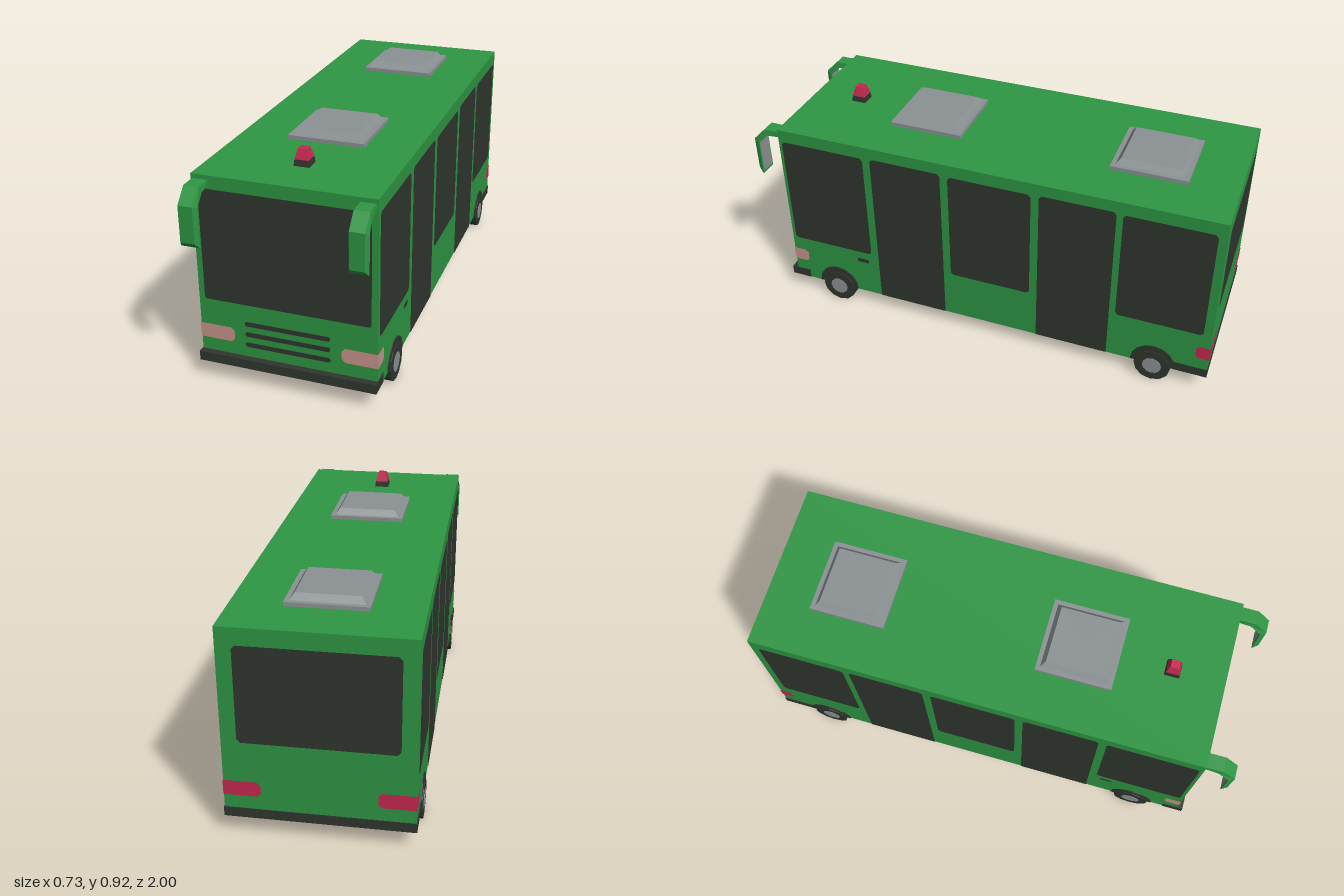
import * as THREE from 'three';

const mat = (name, color) => {
  const m = new THREE.MeshStandardMaterial({ color });
  m.name = name;
  return m;
};

export function createModel() {
  const green = mat('green paint', 0x2e9644);
  const dark = mat('dark glass and rubber', 0x30362f);
  const grey = mat('grey metal', 0x8c9294);
  const pink = mat('headlight pink', 0xcb948d);
  const red = mat('signal red', 0xc5284f);

  const bus = new THREE.Group();
  bus.name = 'bus';
  const W = 0.354, FRONT = 0.877, BACK = -0.997;

  function add(name, geometry, material, x = 0, y = 0, z = 0) {
    const mesh = new THREE.Mesh(geometry, material);
    mesh.name = name;
    mesh.position.set(x, y, z);
    bus.add(mesh);
    return mesh;
  }

  // Box given by its limits
  function box(name, material, x0, x1, y0, y1, z0, z1) {
    return add(name, new THREE.BoxGeometry(x1 - x0, y1 - y0, z1 - z0), material,
      (x0 + x1) / 2, (y0 + y1) / 2, (z0 + z1) / 2);
  }

  // Square block tapering from half width a to half width b
  function taper(name, material, a, b, y0, y1, z) {
    const g = new THREE.CylinderGeometry(b * Math.SQRT2, a * Math.SQRT2, y1 - y0, 4).toNonIndexed();
    g.rotateY(Math.PI / 4);
    g.computeVertexNormals();
    return add(name, g, material, 0, (y0 + y1) / 2, z);
  }

  // Flat panel with cut corners: ca on the u0 end, cb on the u1 end
  function panelShape(u0, u1, v0, v1, ca, cb, bottomCut = true) {
    const a = bottomCut ? ca : 0, b = bottomCut ? cb : 0;
    return new THREE.ShapeGeometry(new THREE.Shape([
      [u0 + a, v0], [u1 - b, v0], [u1, v0 + b], [u1, v1 - cb],
      [u1 - cb, v1], [u0 + ca, v1], [u0, v1 - ca], [u0, v0 + a],
    ].map(p => new THREE.Vector2(...p))));
  }
  function frontPanel(name, material, x0, x1, y0, y1, ca, cb) {
    add(name, panelShape(x0, x1, y0, y1, ca, cb), material, 0, 0, FRONT + 0.002);
  }
  function backPanel(name, material, x0, x1, y0, y1, ca, cb) {
    add(name, panelShape(x0, x1, y0, y1, ca, cb), material, 0, 0, BACK - 0.002).rotation.y = Math.PI;
  }
  // Runs from the rear end zr to the front end zf, on side s (+1 left, -1 right)
  function sidePanel(name, material, s, zr, zf, y0, y1, cr, cf, bottomCut) {
    const g = s > 0 ? panelShape(-zf, -zr, y0, y1, cf, cr, bottomCut)
      : panelShape(zr, zf, y0, y1, cr, cf, bottomCut);
    add(name, g, material, s * (W + 0.002)).rotation.y = s * Math.PI / 2;
  }

  // Body and bumpers
  box('body', green, -W, W, 0.08, 0.852, BACK, FRONT);
  box('frontBumper', dark, -W - 0.003, W + 0.003, 0.081, 0.12, 0.815, 0.903);
  box('rearBumper', dark, -W - 0.003, W + 0.003, 0.081, 0.12, -1, -0.86);

  // Front and rear glass, grille slots
  frontPanel('windscreen', dark, -0.33, 0.33, 0.345, 0.8, 0.007, 0.007);
  backPanel('rearWindow', dark, -0.295, 0.295, 0.4, 0.785, 0.014, 0.014);
  for (const y of [0.173, 0.218, 0.263])
    frontPanel('grilleSlot', dark, -0.17, 0.17, y - 0.01, y + 0.01, 0.005, 0.005);

  // Roof hatches
  for (const z of [0.295, -0.645]) {
    box('hatchFrame', grey, -0.156, 0.156, 0.851, 0.868, z - 0.156, z + 0.156);
    taper('hatchLid', grey, 0.138, 0.12, 0.868, 0.893, z);
  }

  // Beacon
  taper('beaconBase', dark, 0.031, 0.028, 0.851, 0.877, 0.665);
  taper('beaconLamp', red, 0.028, 0.017, 0.877, 0.917, 0.665);

  // Mirror arm and head lofted along a bent path:
  // [outer z, outer y, outer half width, inner z, inner y, inner half width]
  const stations = [
    [0.87, 0.835, 0.03, 0.87, 0.812, 0.03],
    [0.945, 0.835, 0.03, 0.93, 0.81, 0.033],
    [1.0, 0.78, 0.028, 0.978, 0.77, 0.038],
    [1.0, 0.636, 0.028, 0.978, 0.612, 0.038],
  ];
  function mirrorGeometry() {
    const rings = stations.map(([oz, oy, ow, iz, iy, iw]) =>
      [[-ow, oy, oz], [ow, oy, oz], [iw, iy, iz], [-iw, iy, iz]]);
    const pos = [];
    const quad = (a, b, c, d) => pos.push(...a, ...b, ...c, ...a, ...c, ...d);
    for (let i = 0; i < rings.length - 1; i++)
      for (let j = 0; j < 4; j++) {
        const k = (j + 1) % 4;
        quad(rings[i][j], rings[i + 1][j], rings[i + 1][k], rings[i][k]);
      }
    quad(...rings[rings.length - 1].slice().reverse());
    const g = new THREE.BufferGeometry();
    g.setAttribute('position', new THREE.Float32BufferAttribute(pos, 3));
    g.computeVertexNormals();
    return g;
  }

  // Wheel arch outline, open towards the ground
  const arch = new THREE.Shape();
  for (let i = 0; i <= 8; i++) {
    const t = (i / 8) * Math.PI;
    const p = [Math.cos(t) * 0.094, 0.083 + Math.sin(t) * 0.096];
    if (i) arch.lineTo(...p); else arch.moveTo(...p);
  }

  for (const s of [1, -1]) {
    // Side windows and doors
    for (const [zr, zf] of [[0.49, 0.862], [-0.235, 0.115], [-0.963, -0.603]])
      sidePanel('sideWindow', dark, s, zr, zf, 0.3, 0.798, 0.012, 0.012);
    for (const [zr, zf] of [[0.148, 0.457], [-0.577, -0.268]])
      sidePanel('door', dark, s, zr, zf, 0.08, 0.803, 0.012, 0.012, false);
    sidePanel('handle', dark, s, 0.507, 0.56, 0.245, 0.264, 0.002, 0.002);

    // Lamps wrapping the corners
    const [x0, x1] = s > 0 ? [0.215, W + 0.002] : [-W - 0.002, -0.215];
    const [ca, cb] = s > 0 ? [0.014, 0] : [0, 0.014];
    frontPanel('headlight', pink, x0, x1, 0.175, 0.236, ca, cb);
    backPanel('tailLight', red, x0, x1, 0.175, 0.236, ca, cb);
    sidePanel('headlightSide', pink, s, 0.81, FRONT + 0.002, 0.175, 0.236, 0.012, 0);
    sidePanel('tailLightSide', red, s, BACK - 0.002, -0.943, 0.175, 0.236, 0, 0.012);

    // Mirrors
    add('mirror', mirrorGeometry(), green, s * 0.317);
    const glass = add('mirrorGlass', panelShape(-0.032, 0.032, 0.622, 0.765, 0.004, 0.004), grey, s * 0.317, 0, 0.976);
    glass.rotation.y = Math.PI;

    // Wheels and arches
    for (const z of [0.667, -0.775]) {
      const archGeo = new THREE.ExtrudeGeometry(arch, { depth: 0.004, bevelEnabled: false });
      archGeo.rotateY(Math.PI / 2);
      add('wheelArch', archGeo, dark, s > 0 ? W : -W - 0.004, 0, z);
      const disc = (name, r, material, x, w) => {
        const g = new THREE.CylinderGeometry(r, r, w, 12).toNonIndexed();
        g.rotateZ(Math.PI / 2);
        g.computeVertexNormals();
        add(name, g, material, s * x, 0.076, z);
      };
      disc('tyre', 0.076, dark, 0.332, 0.06);
      disc('hub', 0.04, grey, 0.36, 0.007);
    }
  }
  return bus;
}
